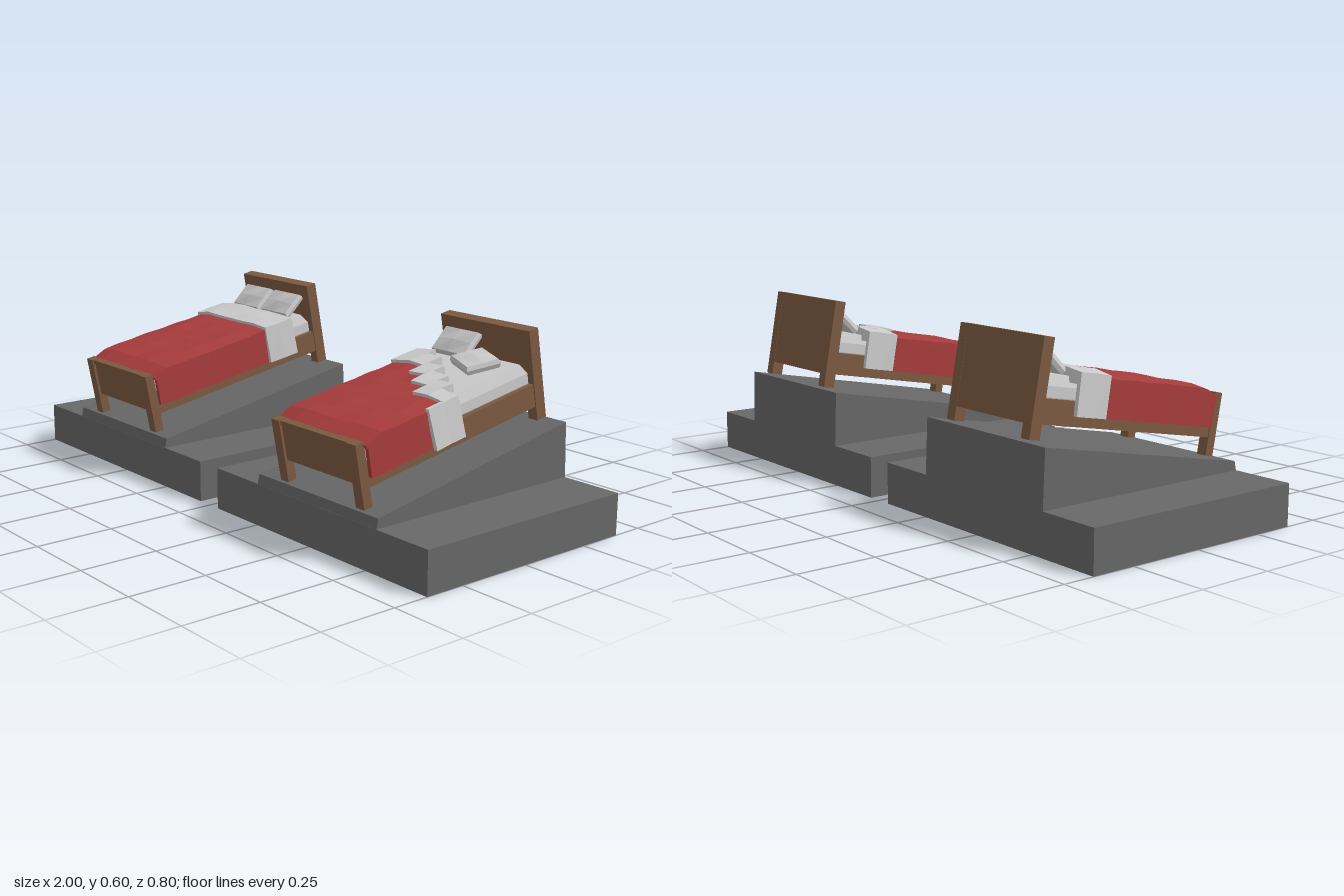
import * as THREE from 'three';

const mat = (color) => new THREE.MeshStandardMaterial({ color, flatShading: true });
const stone = mat(0x686868), wood = mat(0x7d5a41), red = mat(0xa83c3c), linen = mat(0xcccccc);
const TILT = 0.184;

// Box between corners; d runs from the foot of the bed towards its head (-z).
function box(parent, name, material, [x0, x1], [y0, y1], [d0, d1], deform, seg = [1, 1, 1]) {
  const g = new THREE.BoxGeometry(x1 - x0, y1 - y0, d1 - d0, ...seg);
  g.translate((x0 + x1) / 2, (y0 + y1) / 2, -(d0 + d1) / 2);
  if (deform) {
    const p = g.attributes.position, v = new THREE.Vector3();
    for (let i = 0; i < p.count; i++) {
      v.fromBufferAttribute(p, i);
      deform(v);
      p.setXYZ(i, v.x, v.y, v.z);
    }
    g.computeVertexNormals();
  }
  const m = new THREE.Mesh(g, material);
  m.name = name;
  parent.add(m);
  return m;
}

// Uneven cloth height, dropping at the foot and towards the sides
function clothTop(x, d) {
  const foot = 0.018 * (1 - Math.min(1, Math.max(0, (d - 0.028) / 0.055)));
  const side = Math.abs(x) > 0.17 ? 0.008 : 0;
  return 0.214 - foot - side + 0.003 * Math.sin(x * 31 + d * 17) * Math.cos(d * 29 - x * 11);
}

function clothSlab(parent, name, material, x, d, lift = 0) {
  const seg = [Math.max(1, Math.round((x[1] - x[0]) / 0.065)), 1, Math.max(1, Math.round((d[1] - d[0]) / 0.055))];
  box(parent, name, material, x, [0.18, 0.21], d, (v) => {
    if (v.y > 0.2) v.y = clothTop(v.x, -v.z) + lift;
  }, seg);
}

// Hanging side of the cloth; lean pushes the hem outwards
function flap(parent, name, material, side, d, out, lean, lift = 0) {
  const xs = side > 0 ? [out - 0.014, out] : [-out, 0.014 - out];
  const seg = [1, 1, Math.max(1, Math.round((d[1] - d[0]) / 0.06))];
  box(parent, name, material, xs, [0.089, 0.2], d, (v) => {
    if (v.y > 0.15) v.y = clothTop(0.2 * side, -v.z) + lift;
    else v.x += side * (lean + 0.003 * Math.sin(v.z * 40));
  }, seg);
}

// Cushion with pinched rim and raised middle
function pillow(parent, w, l, t, x, y, d, rx, ry) {
  const m = box(parent, 'pillow', linen, [-w / 2, w / 2], [-t / 2, t / 2], [-l / 2, l / 2], (v) => {
    if (Math.abs(v.y) < 1e-5) return;
    const rim = Math.abs(v.x) > w * 0.4 || Math.abs(v.z) > l * 0.4;
    if (rim) v.set(v.x * 0.93, v.y * 0.62, v.z * 0.93);
  }, [2, 2, 2]);
  m.position.set(x, y, -d);
  m.rotation.set(rx, ry, 0);
}

function bedFrame(bed) {
  const W = 0.1885, P = 0.036;
  for (const s of [-1, 1]) {
    const post = s > 0 ? [W - P, W] : [-W, P - W];
    box(bed, 'footPost', wood, post, [0, 0.198], [0, 0.031]);
    box(bed, 'headPost', wood, post, [0.012, 0.302], [0.718, 0.757]);
    box(bed, 'sideRail', wood, s > 0 ? [0.162, 0.185] : [-0.185, -0.162], [0.057, 0.13], [0.025, 0.73]);
  }
  box(bed, 'footPanel', wood, [-0.155, 0.155], [0.07, 0.185], [0.009, 0.026]);
  box(bed, 'footTopRail', wood, [-0.155, 0.155], [0.183, 0.197], [0.005, 0.03]);
  box(bed, 'headPanel', wood, [-0.155, 0.155], [0.055, 0.275], [0.73, 0.756]);
  box(bed, 'headTopRail', wood, [-0.155, 0.155], [0.265, 0.302], [0.718, 0.757]);
  box(bed, 'bedBoard', wood, [-0.165, 0.165], [0.075, 0.1], [0.025, 0.73]);
  // Mattress with bevelled upper and lower edges
  box(bed, 'mattress', linen, [-0.168, 0.168], [0.1, 0.198], [0.04, 0.715], (v) => {
    if (v.y > 0.19 || v.y < 0.11) {
      v.x *= 0.93;
      v.z += v.z < -0.4 ? 0.02 : -0.01;
    }
  }, [1, 3, 1]);
}

function madeBedding(bed) {
  clothSlab(bed, 'blanket', red, [-0.2, 0.2], [0.029, 0.5]);
  clothSlab(bed, 'sheetFold', linen, [-0.205, 0.205], [0.498, 0.616], 0.01);
  for (const s of [-1, 1]) {
    flap(bed, 'blanketSide', red, s, [0.035, 0.5], 0.2, 0);
    flap(bed, 'sheetFoldSide', linen, s, [0.498, 0.616], 0.207, 0.006, 0.01);
  }
  for (const s of [-1, 1]) pillow(bed, 0.15, 0.095, 0.042, s * 0.084, 0.235, 0.674, 0.6, 0);
}

function openBedding(bed) {
  // Stepped columns: [left edge, right edge, blanket end, fold end]
  const columns = [
    [-0.2, -0.122, 0.503, 0.616], [-0.122, -0.06, 0.503, 0.58], [-0.06, 0.008, 0.443, 0.525],
    [0.008, 0.075, 0.388, 0.475], [0.075, 0.138, 0.33, 0.432], [0.138, 0.2, 0.33, 0.383],
  ];
  for (const [a, b, near, far] of columns) {
    clothSlab(bed, 'blanketStrip', red, [a, b], [0.029, near]);
    clothSlab(bed, 'sheetFoldStrip', linen, [a, b + 0.002], [near - 0.002, far], 0.01);
  }
  flap(bed, 'blanketSide', red, -1, [0.035, 0.503], 0.2, 0);
  flap(bed, 'sheetFoldSide', linen, -1, [0.5, 0.616], 0.205, 0.003, 0.01);
  flap(bed, 'blanketSide', red, 1, [0.035, 0.267], 0.2, 0.002);
  flap(bed, 'sheetFoldSide', linen, 1, [0.265, 0.385], 0.207, 0.014, 0.01);
  pillow(bed, 0.15, 0.095, 0.042, -0.084, 0.235, 0.674, 0.6, 0);
  pillow(bed, 0.135, 0.11, 0.044, 0.075, 0.228, 0.592, 0.02, -0.4);
}

export function createModel() {
  const model = new THREE.Group();
  model.name = 'twoBeds';
  [[-0.525, 0.475, -0.524, madeBedding], [0.522, 0.478, 0.535, openBedding]].forEach(([cx, half, bedX, bedding], i) => {
    const unit = new THREE.Group();
    unit.name = i ? 'openBedUnit' : 'madeBedUnit';
    model.add(unit);

    // Stone base with a sloping ramp on top
    box(unit, 'base', stone, [cx - half, cx + half], [0, 0.133], [-0.383, 0.397]);
    const side = new THREE.Shape([[-0.383, 0.13], [0.397, 0.13], [0.39, 0.31], [-0.375, 0.163]]
      .map(([d, y]) => new THREE.Vector2(d, y)));
    const rampGeo = new THREE.ExtrudeGeometry(side, { depth: 0.54, bevelEnabled: false });
    rampGeo.translate(0, 0, -0.27).rotateY(Math.PI / 2);
    const ramp = new THREE.Mesh(rampGeo, stone);
    ramp.name = 'ramp';
    ramp.position.x = i ? 0.524 : -0.524;
    unit.add(ramp);

    // Bed standing on the ramp
    const bed = new THREE.Group();
    bed.name = 'bed';
    bed.position.set(bedX, 0.165, 0.364);
    bed.rotation.x = TILT;
    unit.add(bed);
    bedFrame(bed);
    bedding(bed);
  });
  return model;
}
